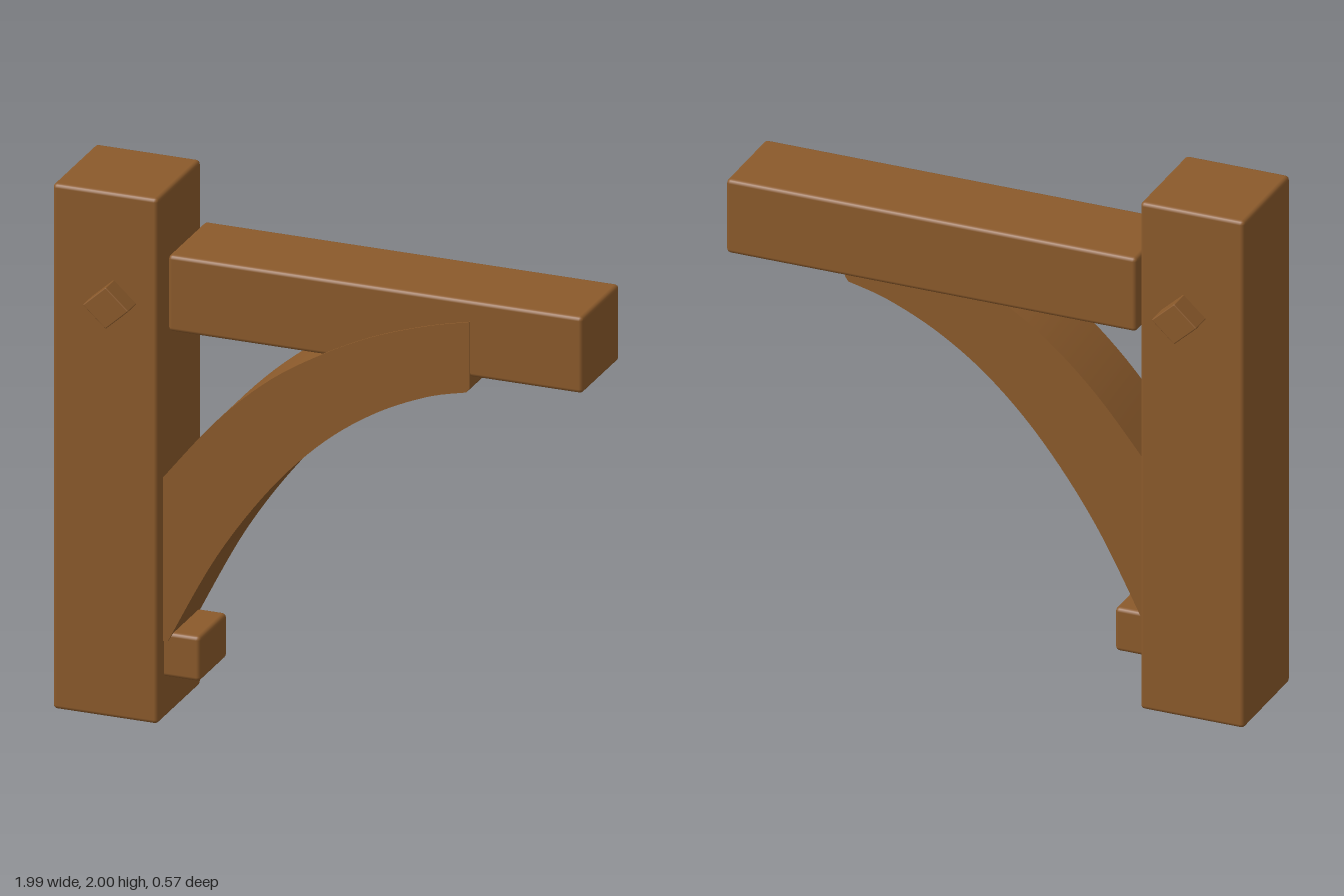
import * as THREE from 'three';
import { toCreasedNormals } from 'three/addons/utils/BufferGeometryUtils.js';
import { RoundedBoxGeometry } from 'three/addons/geometries/RoundedBoxGeometry.js';

export function createModel() {
  const group = new THREE.Group();
  const wood = new THREE.MeshStandardMaterial({ color: 0x8b5a2b });
  wood.name = 'wood';

  const add = (name, geometry) => {
    const mesh = new THREE.Mesh(geometry, wood);
    mesh.name = name;
    group.add(mesh);
    return mesh;
  };

  // Timber with softened edges, given by its limits on each axis
  const timber = (name, [x0, x1], [y0, y1], [z0, z1], radius) => {
    const mesh = add(name, new RoundedBoxGeometry(x1 - x0, y1 - y0, z1 - z0, 2, radius));
    mesh.position.set((x0 + x1) / 2, (y0 + y1) / 2, (z0 + z1) / 2);
    return mesh;
  };

  timber('post', [-1, -0.6], [0, 2], [-0.205, 0.205], 0.015);
  timber('beam', [-0.583, 0.995], [1.48, 1.77], [-0.2, 0.15], 0.015);
  timber('footBlock', [-0.64, -0.463], [0.16, 0.33], [-0.112, 0.145], 0.015);

  // Square peg through the post, set on its corner and slightly flattened
  const pegShape = new RoundedBoxGeometry(0.123, 0.123, 0.572, 2, 0.004);
  pegShape.rotateZ(Math.PI / 4);
  pegShape.scale(1, 0.91, 1);
  add('peg', pegShape).position.set(-0.767, 1.59, -0.003);

  // Curved brace between post and beam
  const points = list => list.map(([x, y]) => new THREE.Vector2(x, y));
  const brace = new THREE.Shape();
  brace.moveTo(-0.61, 0.3);
  brace.lineTo(-0.582, 0.3);
  brace.splineThru(points([[-0.4, 0.645], [-0.2, 0.93], [0, 1.14], [0.2, 1.285], [0.4, 1.38], [0.555, 1.422]]));
  brace.lineTo(0.568, 1.44);
  brace.lineTo(0.568, 1.692);
  brace.splineThru(points([[0.4, 1.65], [0.2, 1.58], [0, 1.48], [-0.2, 1.35], [-0.4, 1.165], [-0.61, 0.91]]));
  brace.closePath();
  const braceShape = new THREE.ExtrudeGeometry(brace, { depth: 0.283, bevelEnabled: false, curveSegments: 5 });
  braceShape.translate(0, 0, -0.128);
  add('curvedBrace', toCreasedNormals(braceShape, 0.5));

  return group;
}
